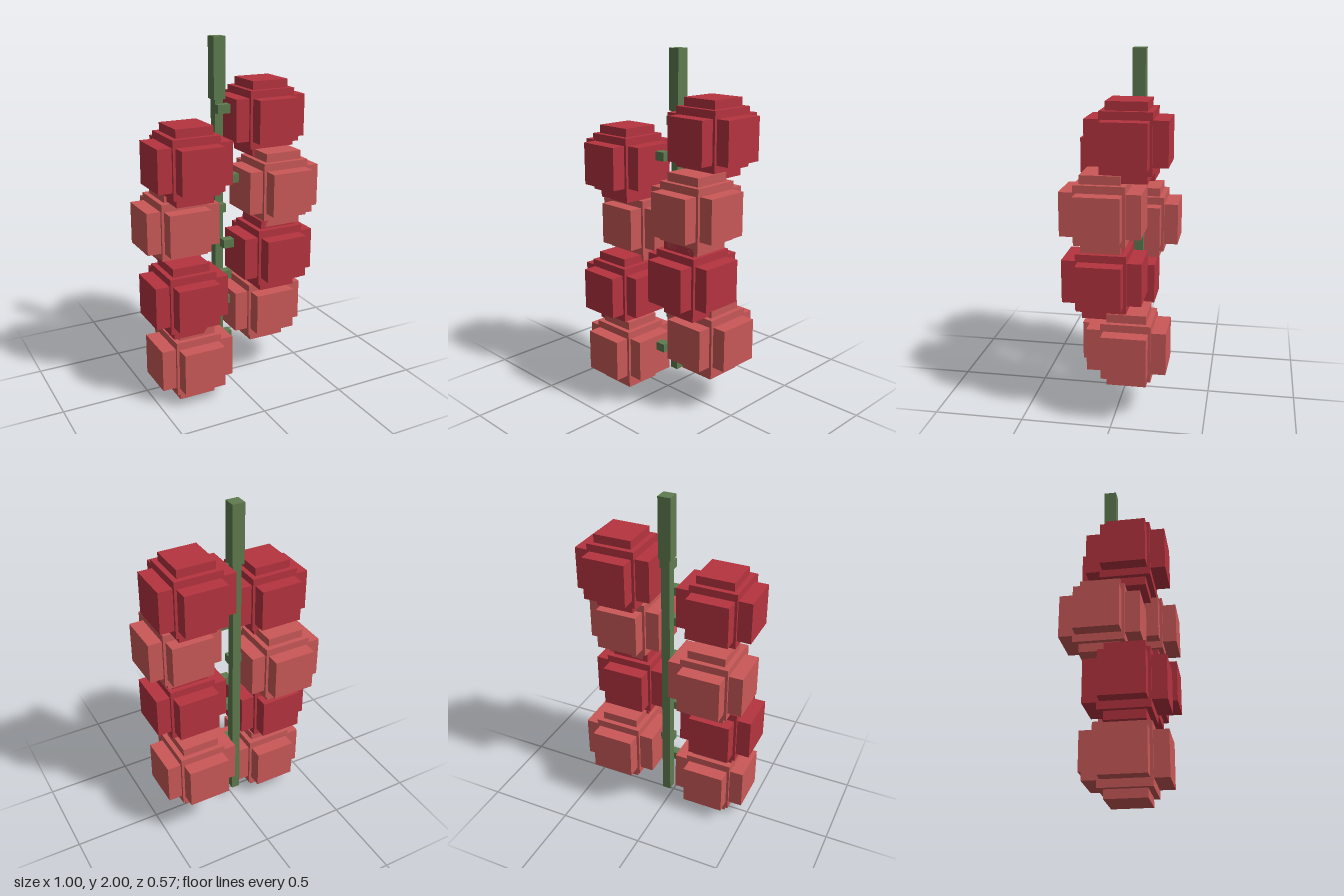
import * as THREE from 'three';

const green = new THREE.MeshStandardMaterial({ name: 'stem green', color: 0x5f7b50 });
const red = new THREE.MeshStandardMaterial({ name: 'deep red', color: 0xb63440 });
const coral = new THREE.MeshStandardMaterial({ name: 'coral red', color: 0xca5958 });

function box(parent, name, material, size, position = [0, 0, 0]) {
  const mesh = new THREE.Mesh(new THREE.BoxGeometry(...size), material);
  mesh.name = name;
  mesh.position.set(...position);
  parent.add(mesh);
}

// One blocky berry: a core with a slab pushed through it along each axis
function createBerry(name, material, position) {
  const berry = new THREE.Group();
  berry.name = name;
  berry.position.set(...position);
  box(berry, 'core', material, [0.275, 0.325, 0.275]);
  box(berry, 'sideLobes', material, [0.435, 0.24, 0.245]);
  box(berry, 'frontBackLobes', material, [0.245, 0.24, 0.435]);
  box(berry, 'topBottomLobes', material, [0.218, 0.42, 0.218]);
  return berry;
}

export function createModel() {
  const model = new THREE.Group();
  model.name = 'berryStrand';

  // Hanging stem with a thicker top
  box(model, 'stem', green, [0.05, 1.56, 0.052], [-0.002, 0.88, -0.08]);
  box(model, 'stemTop', green, [0.072, 0.34, 0.072], [-0.002, 1.83, -0.08]);

  // Berries alternate down both sides: x, y, z, colour
  const berries = [
    [0.268, 1.55, -0.068, red],
    [-0.258, 1.36, 0.068, red],
    [0.283, 1.17, 0.068, coral],
    [-0.273, 0.98, -0.068, coral],
    [0.255, 0.788, 0.068, red],
    [-0.287, 0.598, 0.068, red],
    [0.268, 0.405, -0.068, coral],
    [-0.258, 0.212, 0.068, coral],
  ];
  berries.forEach(([x, y, z, material], i) => {
    model.add(createBerry(`berry${i + 1}`, material, [x, y, z]));

    // Short stalk reaching from the stem line into the berry
    const side = Math.sign(x);
    const length = 0.18;
    const stalkX = -0.002 + side * (length / 2 - 0.025);
    box(model, `stalk${i + 1}`, green, [length, 0.05, 0.052], [stalkX, y + 0.06, z > 0 ? 0.031 : -0.041]);
  });

  return model;
}
